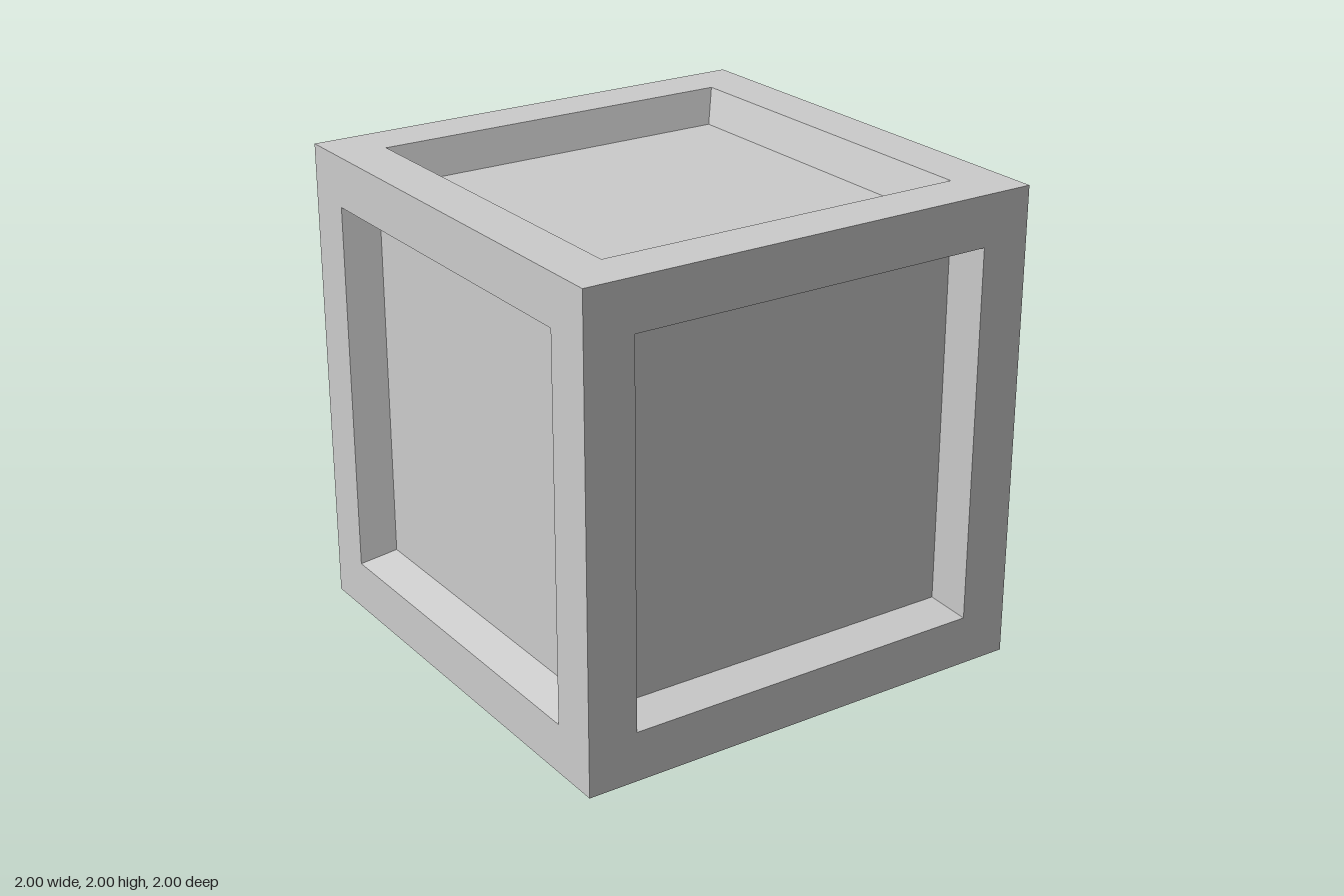
import * as THREE from 'three';

const OPENING = 0.79;  // half width of the recess at the surface
const FLOOR = 0.746;   // half width of the recess floor
const DEPTH = 0.147;   // recess depth

export function createModel() {
  const material = new THREE.MeshStandardMaterial({ color: 0xcccccc, flatShading: true });

  // Square rim and sloping recess walls: a four-sided lathe facing +y
  const profile = [[1, 1], [OPENING, 1], [FLOOR, 1 - DEPTH]]
    .map(([half, y]) => new THREE.Vector2(half * Math.SQRT2, y));
  const frameGeometry = new THREE.LatheGeometry(profile, 4, Math.PI / 4).toNonIndexed();
  frameGeometry.computeVertexNormals();

  // Flat recessed panel
  const panelGeometry = new THREE.PlaneGeometry(2 * FLOOR, 2 * FLOOR)
    .rotateX(-Math.PI / 2)
    .translate(0, 1 - DEPTH, 0);

  // The same side turned onto all six faces of the cube
  const q = Math.PI / 2;
  const sides = {
    top: [0, 0], bottom: [2 * q, 0], front: [q, 0],
    back: [-q, 0], left: [0, -q], right: [0, q],
  };
  const crate = new THREE.Group();
  crate.name = 'crate';
  for (const [name, [rx, rz]] of Object.entries(sides)) {
    const side = new THREE.Group();
    side.name = name + 'Side';
    const frame = new THREE.Mesh(frameGeometry, material);
    frame.name = name + 'Frame';
    const panel = new THREE.Mesh(panelGeometry, material);
    panel.name = name + 'Panel';
    side.add(frame, panel);
    side.rotation.set(rx, 0, rz);
    side.position.y = 1;
    crate.add(side);
  }
  return crate;
}
